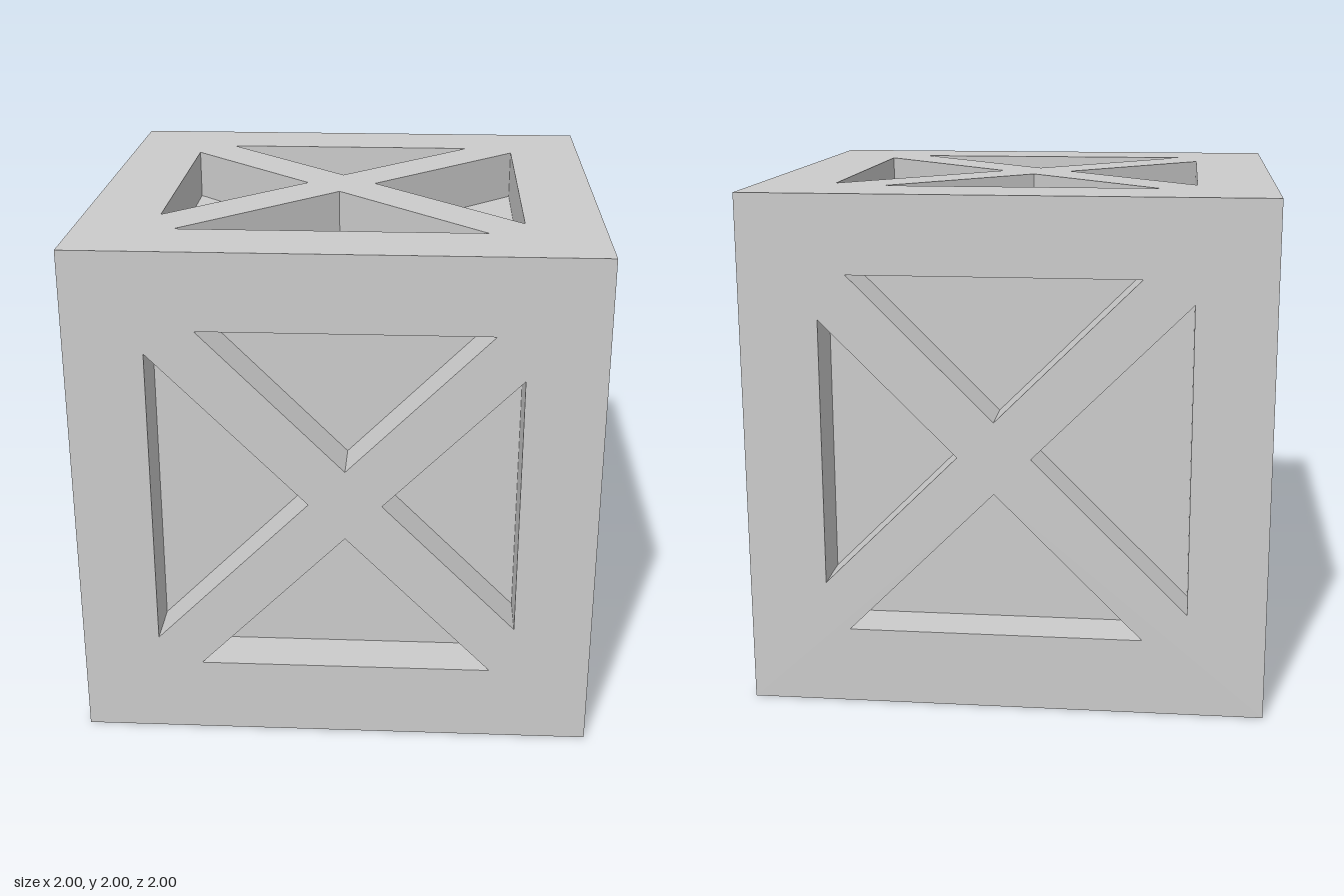
import * as THREE from 'three';

const OUT = 1, OPEN = 0.7, DEPTH = 0.2, BAR = 0.14; // BAR: half bar width measured along the axes

const path = (Type, pts) => new Type(pts.map(([x, y]) => new THREE.Vector2(x, y)));

// Square frame with a diagonal cross, the cross centred on (u, v)
function braceGeometry(u, v) {
  const shape = path(THREE.Shape, [[-OUT, -OUT], [OUT, -OUT], [OUT, OUT], [-OUT, OUT]]);
  const up = OPEN - BAR - v, down = OPEN - BAR + v;
  const right = OPEN - BAR - u, left = OPEN - BAR + u;
  shape.holes = [
    [[u, v + BAR], [u - up, OPEN], [u + up, OPEN]],
    [[u, v - BAR], [u + down, -OPEN], [u - down, -OPEN]],
    [[u + BAR, v], [OPEN, v + right], [OPEN, v - right]],
    [[u - BAR, v], [-OPEN, v - left], [-OPEN, v + left]],
  ].map((pts) => path(THREE.Path, pts));

  const geo = new THREE.ExtrudeGeometry(shape, { depth: DEPTH, bevelEnabled: false });
  geo.translate(0, 0, OUT - DEPTH);

  // Mitre the outer rim so neighbouring frames meet at 45 degrees
  const p = geo.attributes.position;
  const inner = OUT - DEPTH;
  for (let i = 0; i < p.count; i++) {
    if (p.getZ(i) > OUT - DEPTH / 2 || Math.abs(p.getX(i)) < 0.99) continue;
    p.setXY(i, Math.sign(p.getX(i)) * inner, Math.sign(p.getY(i)) * inner);
  }
  geo.computeVertexNormals();
  return geo;
}

export function createModel() {
  const group = new THREE.Group();
  group.name = 'crate';
  const material = new THREE.MeshStandardMaterial({ color: 0xcccccc, flatShading: true });

  // Recessed panels
  const side = 2 * (OUT - DEPTH);
  const core = new THREE.Mesh(new THREE.BoxGeometry(side, side, side), material);
  core.name = 'recessedPanels';
  core.position.y = 1;
  group.add(core);

  // Braced frames: name, x turn, y turn, centre of the cross
  const q = Math.PI / 2;
  const faces = [
    ['frontFrame', 0, 0, 0.04, 0.01],
    ['backFrame', 0, 2 * q, -0.04, 0.01],
    ['leftFrame', 0, q, -0.055, 0.02],
    ['rightFrame', 0, -q, 0.055, 0.02],
    ['topFrame', -q, 0, -0.03, 0.03],
    ['bottomFrame', q, 0, -0.03, -0.03],
  ];
  for (const [name, rx, ry, u, v] of faces) {
    const frame = new THREE.Mesh(braceGeometry(u, v), material);
    frame.name = name;
    frame.rotation.set(rx, ry, 0);
    frame.position.y = 1;
    group.add(frame);
  }
  return group;
}
